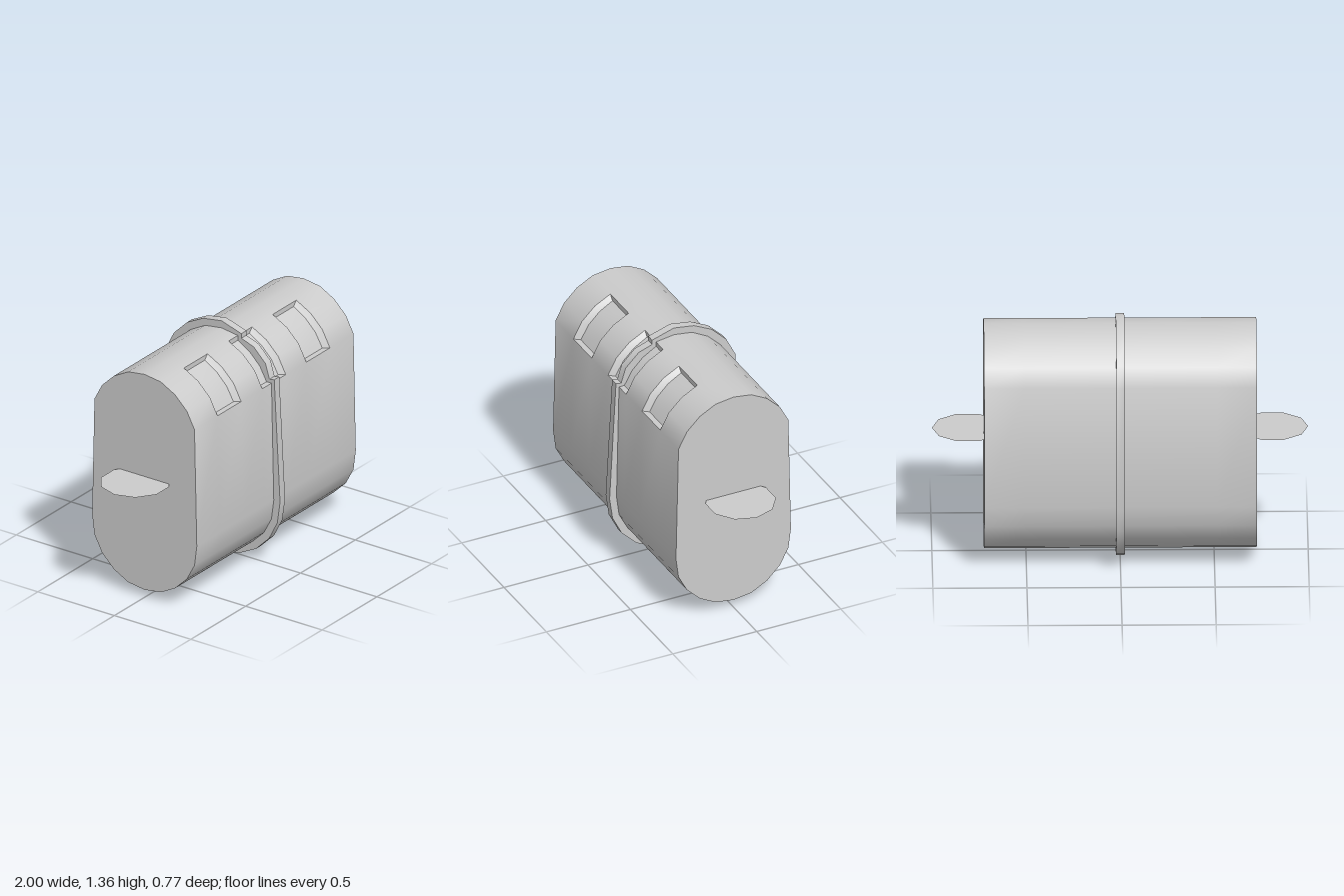
import * as THREE from 'three';
import { toCreasedNormals } from 'three/addons/utils/BufferGeometryUtils.js';

const material = new THREE.MeshStandardMaterial({ color: 0xcccccc });
const thinMaterial = new THREE.MeshStandardMaterial({ color: 0xcccccc, side: THREE.DoubleSide });

// Body cross-section as [z, y]: front half from bottom to top, then mirrored down the back
const half = [[0, 0.045], [0.107, 0.06], [0.2, 0.11], [0.277, 0.185], [0.327, 0.28], [0.342, 0.395],
  [0.327, 1.08], [0.277, 1.175], [0.2, 1.25], [0.107, 1.3], [0, 1.315]];
const mirrorBack = pts => pts.slice(1, -1).reverse().map(([z, y]) => [-z, y]);
const profile = [...half, ...mirrorBack(half)];

// Recessed windows: the profile segments they cover and their sunken floor
const firstSegment = 6;
const floor = [[0.295, 1.08], [0.25, 1.16], [0.185, 1.225], [0.107, 1.272]];
const stations = [-0.725, -0.515, -0.3, -0.107, 0.107, 0.295, 0.51, 0.725];
const inset = 0.025;

function bodyGeometry() {
  const pos = [];
  const v = (x, [z, y]) => [x, y, z];
  const tri = (a, b, c) => pos.push(...a, ...b, ...c);
  const quad = (a, b, c, d) => { tri(a, b, c); tri(a, c, d); };
  const n = profile.length;

  for (let s = 0; s < stations.length - 1; s++) {
    const x0 = stations[s], x1 = stations[s + 1];
    const f0 = x0 + inset, f1 = x1 - inset;
    const hasWindow = s % 2 === 1;
    for (let i = 0; i < n; i++) {
      const p = profile[i], q = profile[(i + 1) % n];
      const k = i - firstSegment;
      if (!hasWindow || k < 0 || k > 2) {
        quad(v(x0, p), v(x1, p), v(x1, q), v(x0, q));
        continue;
      }
      // Window floor and its two side walls
      const fp = floor[k], fq = floor[k + 1];
      quad(v(f0, fp), v(f1, fp), v(f1, fq), v(f0, fq));
      quad(v(x0, p), v(f0, fp), v(f0, fq), v(x0, q));
      quad(v(f1, fp), v(x1, p), v(x1, q), v(f1, fq));
      // Sill and top wall
      if (k === 0) quad(v(x0, p), v(x1, p), v(f1, fp), v(f0, fp));
      if (k === 2) quad(v(f0, fq), v(f1, fq), v(x1, q), v(x0, q));
    }
  }

  // Flat end caps
  const c = [0, 0.68], end = stations[stations.length - 1];
  for (let i = 0; i < n; i++) {
    const p = profile[i], q = profile[(i + 1) % n];
    tri(v(end, c), v(end, q), v(end, p));
    tri(v(-end, c), v(-end, p), v(-end, q));
  }
  const geo = new THREE.BufferGeometry();
  geo.setAttribute('position', new THREE.Float32BufferAttribute(pos, 3));
  return toCreasedNormals(geo, 0.6);
}

// Raised band around the middle, thinner where it crosses the centre window
function bandGeometry() {
  const width = 0.046;
  const lower = [[0, 0], [0.12, 0.022], [0.225, 0.075], [0.311, 0.16], [0.365, 0.267], [0.383, 0.393]];
  const upper = [[0.365, 1.093], [0.311, 1.2], [0.225, 1.285], [0.12, 1.338], [0, 1.357]];
  const notch = [[0.345, 1.105], [0.314, 1.1], [0.288, 1.185], [0.21, 1.262], [0.13, 1.29], [0.13, 1.317]];
  const outline = [...lower, ...notch, [0, 1.357], ...mirrorBack([...lower, ...upper])];
  const toVectors = pts => pts.map(([z, y]) => new THREE.Vector2(z, y));
  const shape = new THREE.Shape(toVectors(outline));
  const inner = profile.map(([z, y]) => [z * 0.88, 0.68 + (y - 0.68) * 0.9]);
  shape.holes.push(new THREE.Path(toVectors(inner)));
  const geo = new THREE.ExtrudeGeometry(shape, { depth: width, bevelEnabled: false });
  geo.rotateY(-Math.PI / 2).translate(width / 2, 0, 0);
  return toCreasedNormals(geo, 0.6);
}

export function createModel() {
  const model = new THREE.Group();
  const add = (name, geo, mat) => {
    const mesh = new THREE.Mesh(geo, mat);
    mesh.name = name;
    model.add(mesh);
    return mesh;
  };

  add('body', bodyGeometry(), material);
  add('middleBand', bandGeometry(), material);

  // Thin ten-sided fins, half sunk into the ends
  for (const side of [-1, 1]) {
    const geo = new THREE.CircleGeometry(0.19, 10).rotateX(-Math.PI / 2);
    const fin = add(side > 0 ? 'leftFin' : 'rightFin', geo, thinMaterial);
    fin.position.set(side * 0.81, 0.713, 0);
  }
  return model;
}
